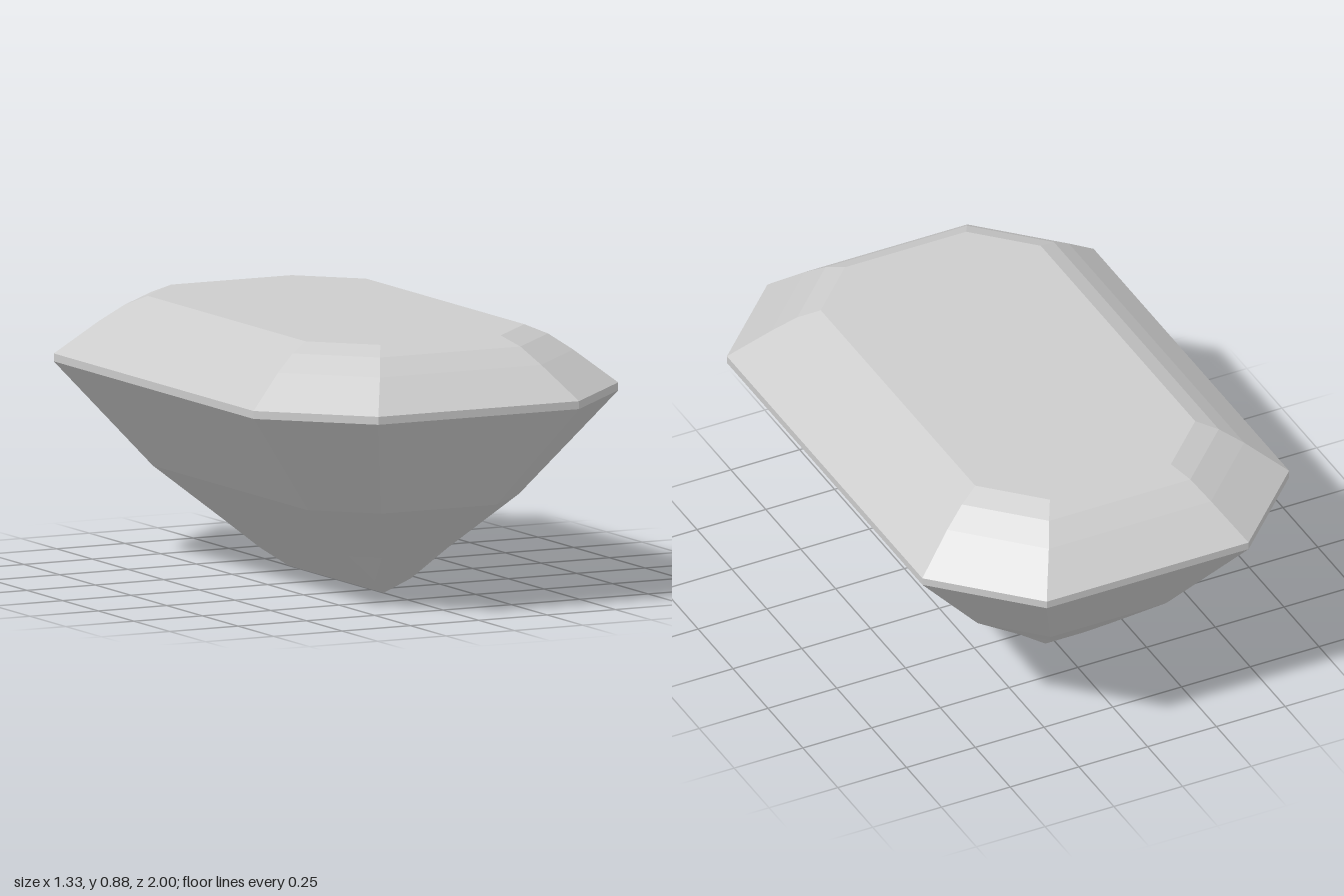
import * as THREE from 'three';

// Each level of the step cut: [height, half width, corner cut]
const PAVILION = [[0, 0, 0], [0.053, 0.067, 0], [0.147, 0.18, 0.08], [0.327, 0.387, 0.177], [0.667, 0.667, 0.3]];
const GIRDLE = [[0.667, 0.667, 0.3], [0.693, 0.667, 0.3]];
const CROWN = [[0.693, 0.667, 0.3], [0.8, 0.54, 0.245], [0.853, 0.467, 0.21], [0.883, 0.4, 0.18]];
const EXTRA_LENGTH = 0.333; // half length minus half width, the same at every level

// Rectangle with cut corners, running from +x towards +z
function ring([y, w, cut]) {
  const l = w + EXTRA_LENGTH, x = w - cut, z = l - cut;
  return [[w, -z], [w, z], [x, l], [-x, l], [-w, z], [-w, -z], [-x, -l], [x, -l]]
    .map(([px, pz]) => new THREE.Vector3(px, y, pz));
}

function facetMesh(name, triangles, material) {
  const points = triangles
    .filter(([a, b, c]) => new THREE.Triangle(a, b, c).getArea() > 1e-6) // drop collapsed facets
    .flat();
  const geometry = new THREE.BufferGeometry().setFromPoints(points);
  geometry.computeVertexNormals();
  const mesh = new THREE.Mesh(geometry, material);
  mesh.name = name;
  return mesh;
}

// Bands of facets between successive levels, listed from the bottom up
function bands(levels) {
  const rings = levels.map(ring), triangles = [];
  for (let k = 0; k < rings.length - 1; k++) {
    for (let i = 0; i < 8; i++) {
      const j = (i + 1) % 8, low = rings[k], high = rings[k + 1];
      triangles.push([low[j], low[i], high[i]], [low[j], high[i], high[j]]);
    }
  }
  return triangles;
}

export function createModel() {
  const group = new THREE.Group();
  group.name = 'stepCutGem';
  const gem = new THREE.MeshStandardMaterial({ color: 0xcccccc });
  gem.name = 'paleGrey';

  group.add(facetMesh('pavilion', bands(PAVILION), gem));
  group.add(facetMesh('girdle', bands(GIRDLE), gem));
  group.add(facetMesh('crown', bands(CROWN), gem));

  // Flat table on top
  const rim = ring(CROWN[CROWN.length - 1]);
  const centre = new THREE.Vector3(0, rim[0].y, 0);
  group.add(facetMesh('table', rim.map((p, i) => [centre, rim[(i + 1) % 8], p]), gem));

  return group;
}
